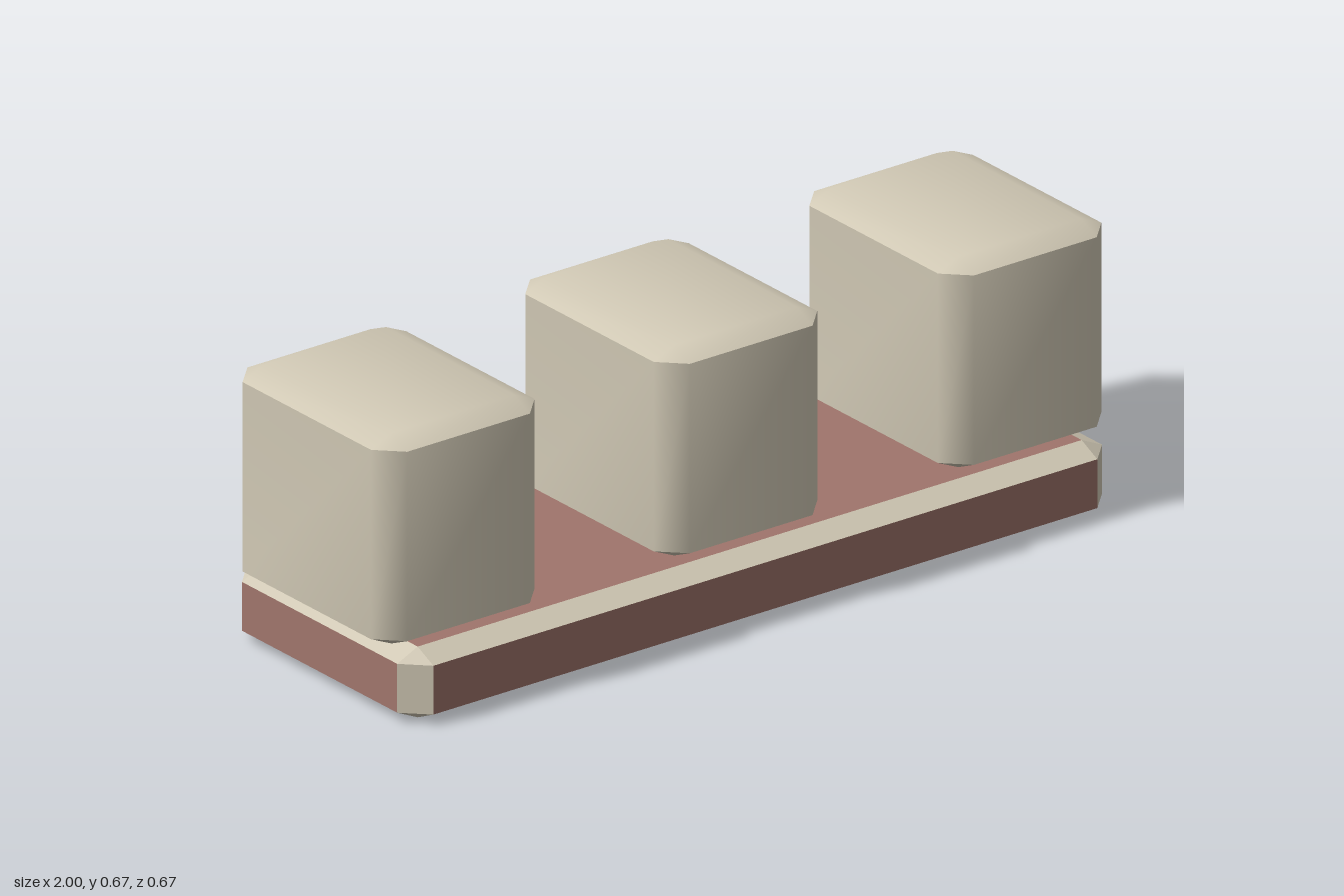
import * as THREE from 'three';
import { toCreasedNormals } from 'three/addons/utils/BufferGeometryUtils.js';

// Box with chamfered edges, standing on y = 0.
// Group 0 holds the flat panels, group 1 the chamfers.
function chamferedBox(width, height, depth, inset, rise, crease) {
  const w = width / 2, d = depth / 2, wi = w - inset, di = d - inset;
  const rectangle = [[wi, -di], [wi, -di], [-wi, -di], [-wi, -di], [-wi, di], [-wi, di], [wi, di], [wi, di]];
  const octagon = [[w, -di], [wi, -d], [-wi, -d], [-w, -di], [-w, di], [-wi, d], [wi, d], [w, di]];
  const ring = (points, y) => points.map(([x, z]) => new THREE.Vector3(x, y, z));
  const rings = [
    ring(rectangle, 0), ring(octagon, rise),
    ring(octagon, height - rise), ring(rectangle, height),
  ];
  const panels = [], chamfers = [];
  const triangle = (list, a, b, c) => {
    if (!a.equals(b) && !b.equals(c) && !c.equals(a)) list.push(a, b, c);
  };
  const quad = (list, a, b, c, e) => {
    triangle(list, a, b, c);
    triangle(list, a, c, e);
  };

  // Walls and sloping edges
  for (let level = 0; level < 3; level++) {
    const low = rings[level], high = rings[level + 1];
    for (let i = 0; i < 8; i++) {
      const j = (i + 1) % 8;
      quad(level === 1 && i % 2 === 1 ? panels : chamfers, low[i], low[j], high[j], high[i]);
    }
  }
  // Top and bottom
  const [bottom, , , top] = rings;
  quad(panels, top[0], top[2], top[4], top[6]);
  quad(panels, bottom[6], bottom[4], bottom[2], bottom[0]);

  const geometry = new THREE.BufferGeometry().setFromPoints([...panels, ...chamfers]);
  geometry.addGroup(0, panels.length, 0);
  geometry.addGroup(panels.length, chamfers.length, 1);
  return toCreasedNormals(geometry, crease);
}

export function createModel() {
  const cream = new THREE.MeshStandardMaterial({ name: 'cream', color: 0xd2cab6 });
  const clay = new THREE.MeshStandardMaterial({ name: 'clay red', color: 0xa0756c });
  const model = new THREE.Group();
  model.name = 'blockRow';

  // Red base with cream chamfers
  const base = new THREE.Mesh(chamferedBox(1.93, 0.168, 0.666, 0.056, 0.026, 0.1), [clay, cream]);
  base.name = 'base';
  model.add(base);

  // Three softly shaded blocks on the base
  const blockGeometry = chamferedBox(0.448, 0.5, 0.57, 0.056, 0.025, 1);
  [['rightBlock', -0.776], ['middleBlock', -0.002], ['leftBlock', 0.776]].forEach(([name, x]) => {
    const block = new THREE.Mesh(blockGeometry, [cream, cream]);
    block.name = name;
    block.position.set(x, 0.168, 0);
    model.add(block);
  });
  return model;
}
